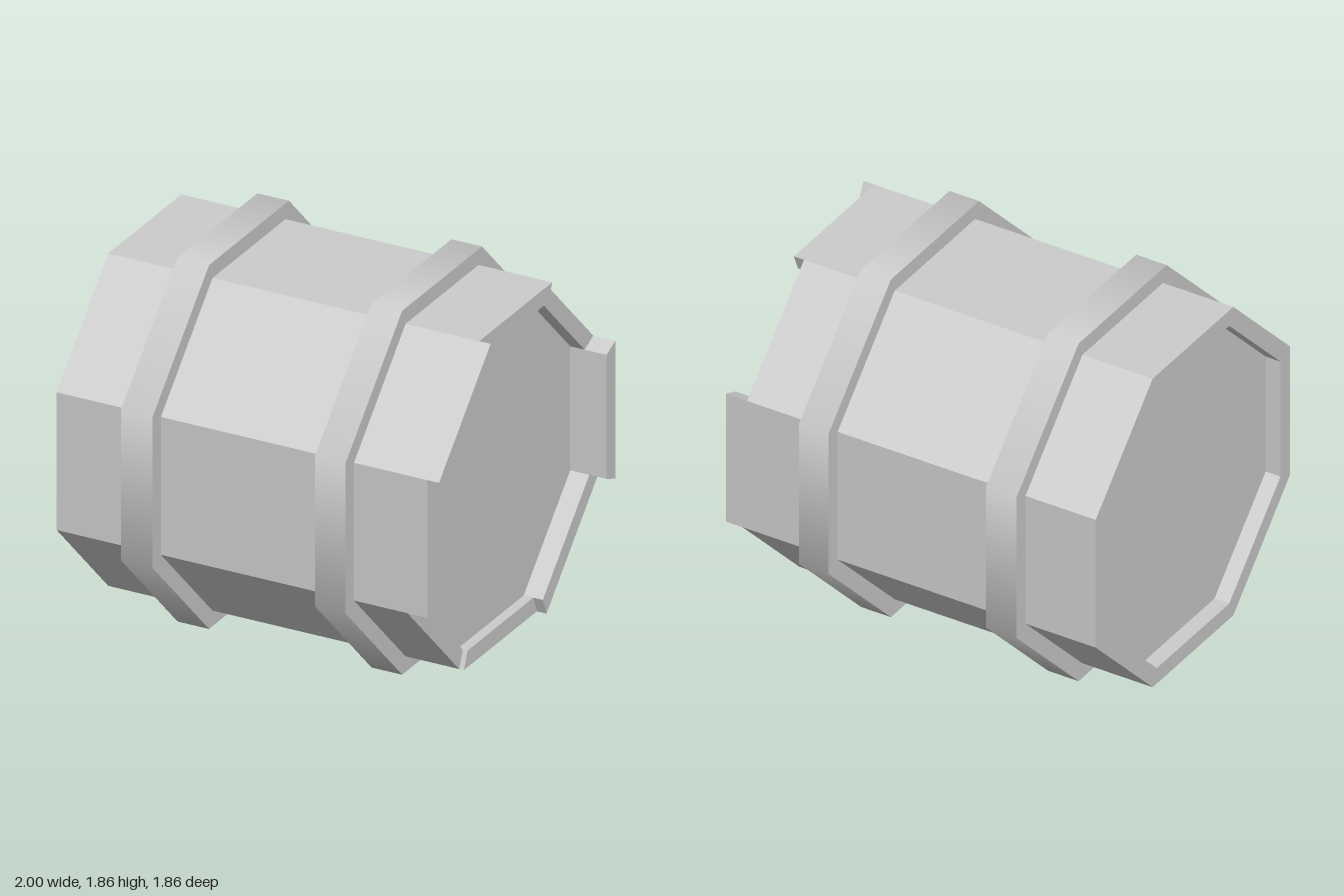
import * as THREE from 'three';
import { mergeGeometries } from 'three/addons/utils/BufferGeometryUtils.js';

const SIDES = 8;
const STEP = (Math.PI * 2) / SIDES;
const AXIS_Y = 0.93;
// Corner radius of an octagon from its flat-to-centre distance
const corner = (flat) => flat / Math.cos(STEP / 2);
const OUTER = corner(0.85), INNER = corner(0.765), BAND = corner(0.93);

export function createModel() {
  const barrel = new THREE.Group();
  barrel.name = 'barrel';
  const flat = new THREE.MeshStandardMaterial({ color: 0xcccccc, flatShading: true });
  const smooth = new THREE.MeshStandardMaterial({ color: 0xcccccc });

  const add = (name, geometry, material) => {
    const mesh = new THREE.Mesh(geometry, material);
    mesh.name = name;
    mesh.position.y = AXIS_Y;
    barrel.add(mesh);
  };

  // Mitred staves, level at the -x end and broken to uneven lengths at +x
  // Order: back, upper back, top, upper front, front, lower front, bottom, lower back
  const staveEnds = [1.0, 0.885, 0.94, 1.0, 0.94, 0.835, 0.86, 0.91];
  staveEnds.forEach((end, i) => {
    const a = (i - 0.5) * STEP, b = (i + 0.5) * STEP;
    const point = (r, t) => new THREE.Vector2(r * Math.cos(t), r * Math.sin(t));
    const section = new THREE.Shape([point(INNER, a), point(OUTER, a), point(OUTER, b), point(INNER, b)]);
    const geometry = new THREE.ExtrudeGeometry(section, { depth: end + 1, bevelEnabled: false });
    geometry.translate(0, 0, -1).rotateY(Math.PI / 2);
    add(`stave${i + 1}`, geometry, flat);
  });

  // Octagonal heads recessed inside both ends
  const head = (name, x0, x1) => {
    const geometry = new THREE.CylinderGeometry(INNER, INNER, x1 - x0, SIDES);
    geometry.rotateY(STEP / 2).rotateZ(-Math.PI / 2).translate((x0 + x1) / 2, 0, 0);
    add(name, geometry, flat);
  };
  head('rightHead', -0.92, -0.88);
  head('leftHead', 0.77, 0.81);

  // Hoops: smooth-shaded outer wall with flat side rings
  const hoop = (name, x0, x1) => {
    const wall = new THREE.CylinderGeometry(BAND, BAND, x1 - x0, SIDES, 1, true);
    wall.rotateY(STEP / 2).rotateZ(-Math.PI / 2).translate((x0 + x1) / 2, 0, 0);
    const ring = (x, turn) => new THREE.RingGeometry(OUTER, BAND, SIDES, 1)
      .rotateZ(STEP / 2).rotateY(turn).translate(x, 0, 0);
    add(name, mergeGeometries([wall, ring(x0, -Math.PI / 2), ring(x1, Math.PI / 2)]), smooth);
  };
  hoop('rightHoop', -0.62, -0.455);
  hoop('leftHoop', 0.395, 0.555);

  return barrel;
}
